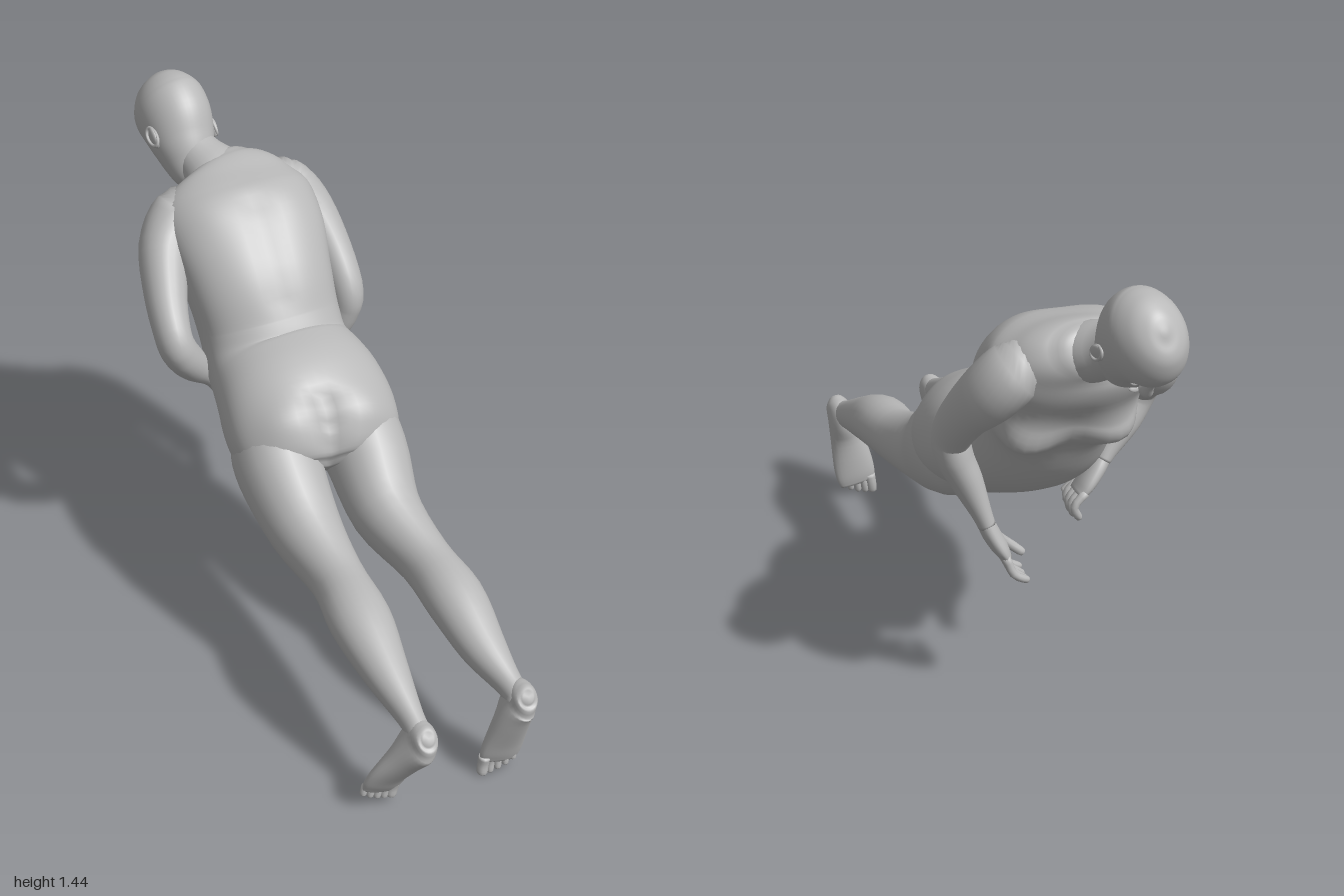
import * as THREE from 'three';

const skin = new THREE.MeshStandardMaterial({ color: 0xb8b8b8 });
skin.name = 'plain grey';
const V = (x, y, z) => new THREE.Vector3(x, y, z);

function mesh(name, geometry, parent) {
  const m = new THREE.Mesh(geometry, skin);
  m.name = name;
  parent.add(m);
  return m;
}

// Smooth closed skin through sections [x, y, z, half width, half depth];
// bumps [x, y, z, radius, height] swell or dent it locally
function loft(name, sections, parent, { steps = 4, sides = 24, power = 2, bumps = [] } = {}) {
  const path = new THREE.CatmullRomCurve3(sections.map(s => V(s[0], s[1], s[2])), false, 'catmullrom', 0.5);
  const size = new THREE.CatmullRomCurve3(sections.map(s => V(s[3], s[4], 0)), false, 'catmullrom', 0.5);
  const rings = (sections.length - 1) * steps, pos = [], idx = [];
  for (let i = 0; i <= rings; i++) {
    const c = path.getPoint(i / rings), r = size.getPoint(i / rings), t = path.getTangent(i / rings);
    const s = V(1, 0, 0).addScaledVector(t, -t.x).normalize();
    const d = t.clone().cross(s);
    for (let j = 0; j < sides; j++) {
      const a = j / sides * Math.PI * 2, co = Math.cos(a), si = Math.sin(a);
      const u = Math.sign(co) * Math.abs(co) ** (2 / power) * Math.max(r.x, 0.002);
      const v = Math.sign(si) * Math.abs(si) ** (2 / power) * Math.max(r.y, 0.002);
      const out = V(0, 0, 0).addScaledVector(s, u).addScaledVector(d, v), p = c.clone().add(out);
      out.normalize();
      let lift = 0;
      for (const b of bumps) lift += b[4] * Math.exp(-p.distanceToSquared(V(b[0], b[1], b[2])) / b[3] ** 2);
      pos.push(...p.addScaledVector(out, lift).toArray());
      if (i < rings) {
        const q = i * sides + j, n = i * sides + (j + 1) % sides;
        idx.push(q, n, q + sides, n, n + sides, q + sides);
      }
    }
  }
  // End caps
  const first = pos.length / 3, base = rings * sides;
  pos.push(...path.getPoint(0).toArray(), ...path.getPoint(1).toArray());
  for (let j = 0; j < sides; j++) {
    const k = (j + 1) % sides;
    idx.push(first, k, j, first + 1, base + j, base + k);
  }
  const g = new THREE.BufferGeometry();
  g.setAttribute('position', new THREE.Float32BufferAttribute(pos, 3));
  g.setIndex(idx);
  g.computeVertexNormals();
  return mesh(name, g, parent);
}

function ellipsoid(name, center, radii, parent) {
  const m = mesh(name, new THREE.SphereGeometry(1, 24, 16), parent);
  m.position.set(...center);
  m.scale.set(...radii);
  return m;
}

// Finger or toe: a rounded, slightly tapering tube through points
function digit(name, points, r, parent) {
  const last = points.length - 1, b = points[last];
  const tip = b.map((v, i) => v + (v - points[last - 1][i]) * 0.15);
  const s = points.map((p, i) => [...p, r * (1 - 0.15 * i / last), r * (1 - 0.15 * i / last)]);
  loft(name, [...s, [...tip, r * 0.3, r * 0.3]], parent, { steps: 3, sides: 10 });
}

function addTorso(body) {
  const bumps = [];
  for (const s of [-1, 1]) {
    bumps.push([s * 0.1, 0.93, -0.565, 0.08, 0.075]); // breasts
    bumps.push([0.04 + s * 0.11, 0.76, 0.07, 0.09, 0.026]); // buttocks
    bumps.push([-0.01 + s * 0.12, 1.2, -0.47, 0.08, 0.008]); // shoulder blades
  }
  // Spine furrow and cleft
  for (const [y, z] of [[0.99, -0.26], [1.05, -0.29], [1.11, -0.325], [1.16, -0.37], [1.21, -0.43]])
    bumps.push([0.01, y, z, 0.04, -0.01]);
  for (const [y, z] of [[0.82, 0.04], [0.76, 0.08], [0.7, 0.1], [0.64, 0.1]])
    bumps.push([0.04, y, z, 0.035, -0.03]);
  loft('torso', [
    [0.04, 0.58, 0.058, 0.08, 0.04],
    [0.04, 0.59, 0.048, 0.17, 0.09],
    [0.04, 0.613, 0.02, 0.235, 0.137],
    [0.04, 0.655, -0.05, 0.258, 0.175],
    [0.035, 0.71, -0.15, 0.252, 0.187],
    [0.02, 0.765, -0.285, 0.222, 0.17],
    [0.015, 0.845, -0.355, 0.214, 0.17],
    [0.005, 0.962, -0.417, 0.222, 0.168],
    [0, 1.063, -0.503, 0.238, 0.157],
    [-0.01, 1.13, -0.595, 0.236, 0.137],
    [-0.015, 1.178, -0.655, 0.185, 0.1],
    [-0.022, 1.2, -0.69, 0.115, 0.076],
    [-0.03, 1.21, -0.71, 0.05, 0.05],
  ], body, { steps: 6, sides: 64, power: 2.2, bumps });
  loft('neck', [
    [-0.015, 1.155, -0.61, 0.12, 0.085],
    [-0.035, 1.188, -0.68, 0.1, 0.084],
    [-0.06, 1.215, -0.735, 0.077, 0.074],
    [-0.085, 1.245, -0.79, 0.067, 0.067],
    [-0.1, 1.27, -0.84, 0.06, 0.06],
  ], body);
}

// Head is built upright facing +z, then leaned along the neck and turned
function addHead(body) {
  const head = new THREE.Group();
  head.name = 'head';
  body.add(head);
  loft('skull', [
    [0, -0.2, 0.075, 0.01, 0.012],
    [0, -0.193, 0.074, 0.034, 0.038],
    [0, -0.17, 0.063, 0.056, 0.06],
    [0, -0.125, 0.042, 0.077, 0.083],
    [0, -0.07, 0.018, 0.096, 0.104],
    [0, 0, -0.004, 0.106, 0.13],
    [0, 0.06, -0.008, 0.102, 0.129],
    [0, 0.11, -0.012, 0.077, 0.098],
    [0, 0.135, -0.014, 0.045, 0.06],
    [0, 0.145, -0.014, 0.008, 0.01],
  ], head, {
    steps: 6, sides: 48,
    bumps: [
      [0.04, -0.03, 0.112, 0.022, -0.009], [-0.04, -0.03, 0.112, 0.022, -0.009], // eye sockets
      [0, -0.112, 0.125, 0.025, 0.007], [0, -0.168, 0.12, 0.025, 0.006], // mouth and chin
    ],
  });
  loft('nose', [
    [0, -0.005, 0.112, 0.008, 0.008],
    [0, -0.04, 0.124, 0.011, 0.014],
    [0, -0.07, 0.134, 0.017, 0.022],
    [0, -0.082, 0.122, 0.013, 0.012],
  ], head, { sides: 14 });
  ellipsoid('upperLip', [0, -0.108, 0.122], [0.026, 0.006, 0.013], head);
  ellipsoid('lowerLip', [0, -0.12, 0.12], [0.023, 0.006, 0.013], head);
  for (const s of [-1, 1]) {
    ellipsoid('eye', [s * 0.04, -0.028, 0.096], [0.016, 0.007, 0.012], head);
    const ear = ellipsoid('ear', [s * 0.102, -0.052, -0.004], [0.01, 0.036, 0.023], head);
    ear.rotation.set(-0.15, s * -0.25, 0);
    const rim = mesh('earRim', new THREE.TorusGeometry(0.024, 0.005, 8, 20), head);
    rim.position.set(s * 0.107, -0.05, -0.006);
    rim.rotation.y = Math.PI / 2 + s * 0.25;
    rim.scale.set(0.8, 1.3, 1);
  }
  const up = V(-0.155, 0.45, -0.88).normalize();
  const side = V(-0.97, 0.15, 0.2).addScaledVector(up, -V(-0.97, 0.15, 0.2).dot(up)).normalize();
  head.quaternion.setFromRotationMatrix(new THREE.Matrix4().makeBasis(side, up, side.clone().cross(up)));
  head.position.set(-0.102, 1.293, -0.857);
}

function addArms(body) {
  loft('armA', [
    [0.11, 1.16, -0.615, 0.06, 0.06], [0.165, 1.135, -0.63, 0.084, 0.088],
    [0.222, 1.07, -0.602, 0.079, 0.09], [0.265, 0.98, -0.525, 0.063, 0.076],
    [0.286, 0.87, -0.435, 0.055, 0.068], [0.28, 0.8, -0.43, 0.053, 0.066],
    [0.248, 0.72, -0.44, 0.046, 0.056], [0.214, 0.63, -0.462, 0.03, 0.036],
    [0.198, 0.585, -0.468, 0.025, 0.032],
  ], body);
  loft('armB', [
    [-0.125, 1.15, -0.575, 0.06, 0.06], [-0.18, 1.125, -0.592, 0.084, 0.088],
    [-0.244, 1.06, -0.54, 0.079, 0.088], [-0.285, 0.975, -0.42, 0.064, 0.074],
    [-0.298, 0.9, -0.325, 0.055, 0.064], [-0.285, 0.845, -0.305, 0.055, 0.06],
    [-0.243, 0.778, -0.325, 0.05, 0.054], [-0.188, 0.71, -0.355, 0.032, 0.036],
    [-0.168, 0.682, -0.365, 0.025, 0.032],
  ], body);
  loft('handA', [
    [0.203, 0.6, -0.467, 0.024, 0.031], [0.187, 0.56, -0.466, 0.026, 0.042],
    [0.163, 0.515, -0.464, 0.024, 0.052], [0.143, 0.48, -0.462, 0.016, 0.048],
  ], body);
  loft('handB', [
    [-0.172, 0.69, -0.362, 0.024, 0.031], [-0.15, 0.66, -0.368, 0.026, 0.042],
    [-0.118, 0.622, -0.374, 0.024, 0.05], [-0.092, 0.596, -0.376, 0.016, 0.046],
  ], body);
  for (let i = 0; i < 4; i++) {
    const z = i * 0.026, k = Math.abs(i - 1.5) * 0.008;
    digit('fingerA', [[0.152, 0.493, -0.5 + z], [0.132, 0.44, -0.507 + z], [0.093, 0.4 + k, -0.5 + z]], 0.013, body);
    digit('fingerB', [[-0.107, 0.61, -0.413 + z], [-0.072, 0.574, -0.418 + z], [-0.075 - k, 0.535, -0.412 + z]], 0.013, body);
  }
  digit('thumbA', [[0.183, 0.555, -0.44], [0.142, 0.505, -0.41], [0.085, 0.455, -0.415]], 0.015, body);
  digit('thumbB', [[-0.147, 0.655, -0.345], [-0.117, 0.61, -0.322], [-0.075, 0.575, -0.318]], 0.015, body);
}

function addLegs(body) {
  loft('legA', [
    [0.15, 0.69, -0.16, 0.09, 0.13], [0.163, 0.635, -0.06, 0.124, 0.155],
    [0.176, 0.58, 0.03, 0.124, 0.147],
    [0.177, 0.485, 0.19, 0.104, 0.118], [0.222, 0.428, 0.38, 0.077, 0.09],
    [0.245, 0.405, 0.55, 0.086, 0.085], [0.263, 0.35, 0.7, 0.068, 0.068],
    [0.29, 0.304, 0.82, 0.04, 0.047], [0.302, 0.288, 0.88, 0.035, 0.038],
  ], body);
  loft('legB', [
    [-0.07, 0.69, -0.16, 0.09, 0.13], [-0.085, 0.635, -0.06, 0.124, 0.155],
    [-0.092, 0.58, 0.03, 0.126, 0.147],
    [-0.077, 0.49, 0.19, 0.107, 0.12], [-0.05, 0.436, 0.38, 0.08, 0.09],
    [-0.05, 0.42, 0.56, 0.09, 0.085], [-0.042, 0.372, 0.72, 0.068, 0.067],
    [-0.026, 0.318, 0.87, 0.038, 0.045], [-0.02, 0.295, 0.935, 0.034, 0.038],
  ], body);
  loft('footA', [
    [0.312, 0.316, 0.914, 0.015, 0.018], [0.311, 0.308, 0.903, 0.034, 0.044],
    [0.304, 0.27, 0.874, 0.042, 0.068], [0.289, 0.2, 0.866, 0.054, 0.048],
    [0.276, 0.12, 0.852, 0.064, 0.031], [0.268, 0.07, 0.845, 0.064, 0.021],
    [0.262, 0.04, 0.842, 0.056, 0.012],
  ], body);
  loft('footB', [
    [-0.014, 0.318, 0.976, 0.015, 0.018], [-0.015, 0.31, 0.966, 0.033, 0.044],
    [-0.023, 0.274, 0.936, 0.042, 0.068], [-0.052, 0.2, 0.906, 0.054, 0.048],
    [-0.085, 0.13, 0.878, 0.062, 0.031], [-0.1, 0.086, 0.864, 0.062, 0.021],
    [-0.108, 0.06, 0.858, 0.054, 0.012],
  ], body);
  // Toes run from the big toe on the inner side outwards
  for (let i = 0; i < 5; i++) {
    const r = i ? 0.0135 - i * 0.0005 : 0.018, lift = i * i * 0.0018;
    const a = 0.218 + i * 0.0235, b = -0.066 - i * 0.021;
    digit('toeA', [[a + 0.004, 0.065, 0.844], [a, 0.035 + lift, 0.842], [a - 0.004, 0.006 + lift, 0.846]], r, body);
    digit('toeB', [[b + 0.006, 0.085, 0.862], [b, 0.055 + lift, 0.857], [b - 0.006, 0.028 + lift, 0.858]], r, body);
  }
}

export function createModel() {
  const body = new THREE.Group();
  body.name = 'leaningFigure';
  addTorso(body);
  addHead(body);
  addArms(body);
  addLegs(body);
  return body;
}
